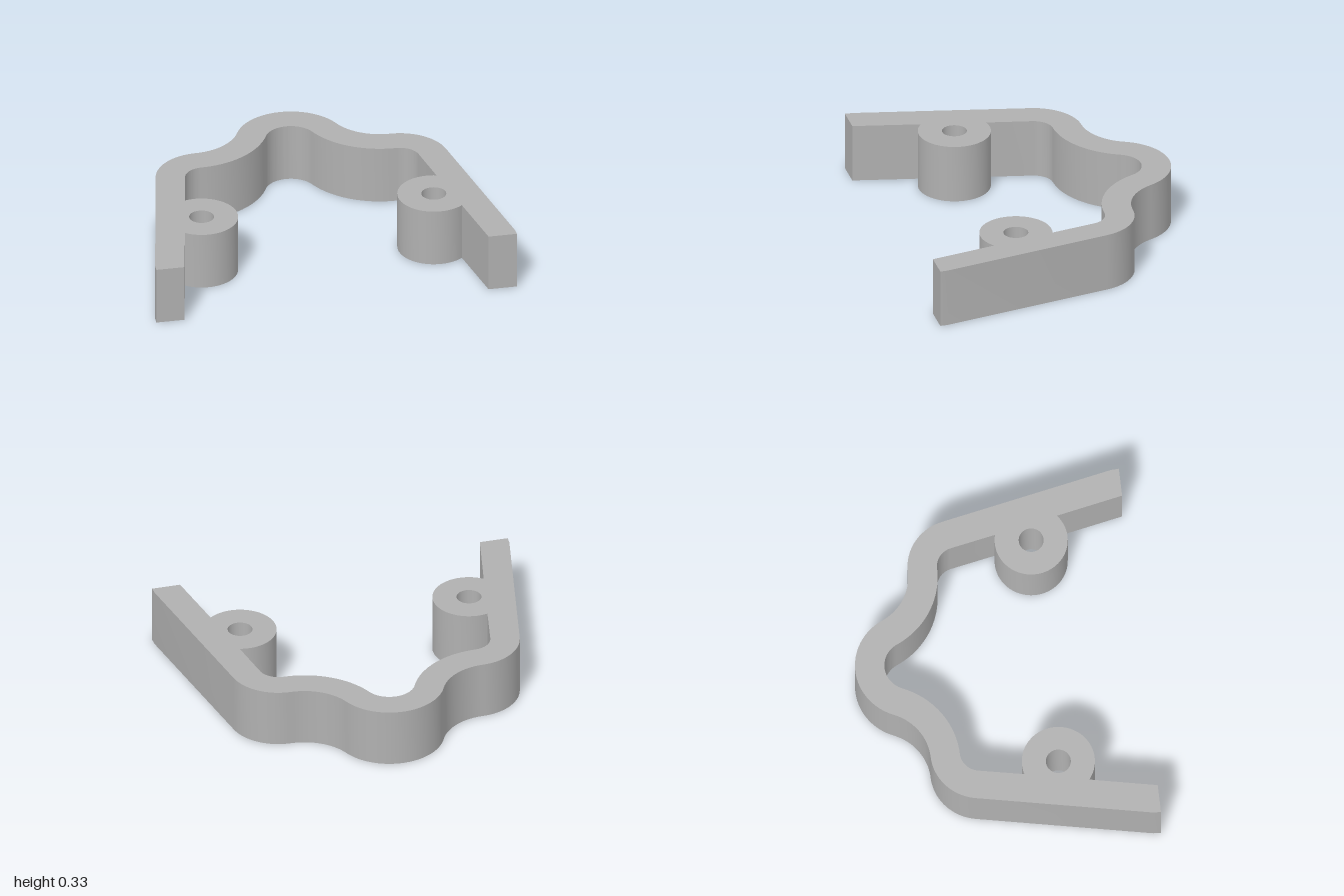
import * as THREE from 'three';
import { toCreasedNormals } from 'three/addons/utils/BufferGeometryUtils.js';

const HEIGHT = 0.33;
const TILT = Math.atan(0.2); // splay of the legs
const BOSS = { x: 0.644, y: -0.257, r: 0.199, hole: 0.068 };

// Sample an arc, from angle a to angle b, as outline points
function arc(cx, cy, r, a, b, n = 20) {
  return Array.from({ length: n + 1 }, (_, i) => {
    const t = a + ((b - a) * i) / n;
    return new THREE.Vector2(cx + r * Math.cos(t), cy + r * Math.sin(t));
  });
}

// Shoulder, waist and crown arcs of one side; inset moves towards the inner wall
function bend(inset) {
  const join = Math.atan2(0.2416, 0.54); // where waist meets crown
  return [
    ...arc(0.54, 0.16, 0.27 - inset, TILT, Math.PI / 2),
    ...arc(0.54, 0.7216, 0.2916 + inset, -Math.PI / 2, join - Math.PI).slice(1),
    ...arc(0, 0.48, 0.3 - inset, join, Math.PI / 2).slice(1),
  ];
}

export function createModel() {
  const group = new THREE.Group();
  group.name = 'bracket';
  const grey = new THREE.MeshStandardMaterial({ color: 0xb0b0b0 });
  grey.name = 'grey';

  // Half outlines, each from the foot to the crown
  const outer = [
    new THREE.Vector2(1, -0.778),
    new THREE.Vector2(0.998, -0.735),
    ...bend(0),
  ];
  const inner = [
    new THREE.Vector2(0.843, -0.778),
    new THREE.Vector2(0.835, -0.738),
    // screw boss bulging from the inner wall
    ...arc(BOSS.x, BOSS.y, BOSS.r, Math.atan2(-0.155, 0.124), Math.atan2(0.192, 0.053) - 2 * Math.PI, 48),
    ...bend(0.16),
  ];
  const mirror = (pts) => pts.map((p) => new THREE.Vector2(-p.x, p.y));

  const shape = new THREE.Shape([
    ...outer,
    ...mirror(outer).reverse().slice(1),
    ...mirror(inner),
    ...inner.slice(0, -1).reverse(),
  ]);

  // Screw holes
  for (const side of [1, -1]) {
    shape.holes.push(new THREE.Path(arc(side * BOSS.x, BOSS.y, BOSS.hole, 0, -2 * Math.PI, 32).slice(0, -1)));
  }

  // Extrude upwards, smooth the bends and keep the edges sharp
  const flat = new THREE.ExtrudeGeometry(shape, { depth: HEIGHT, bevelEnabled: false });
  flat.rotateX(-Math.PI / 2);
  const body = new THREE.Mesh(toCreasedNormals(flat, 0.5), grey);
  body.name = 'bracketBody';
  group.add(body);
  return group;
}
